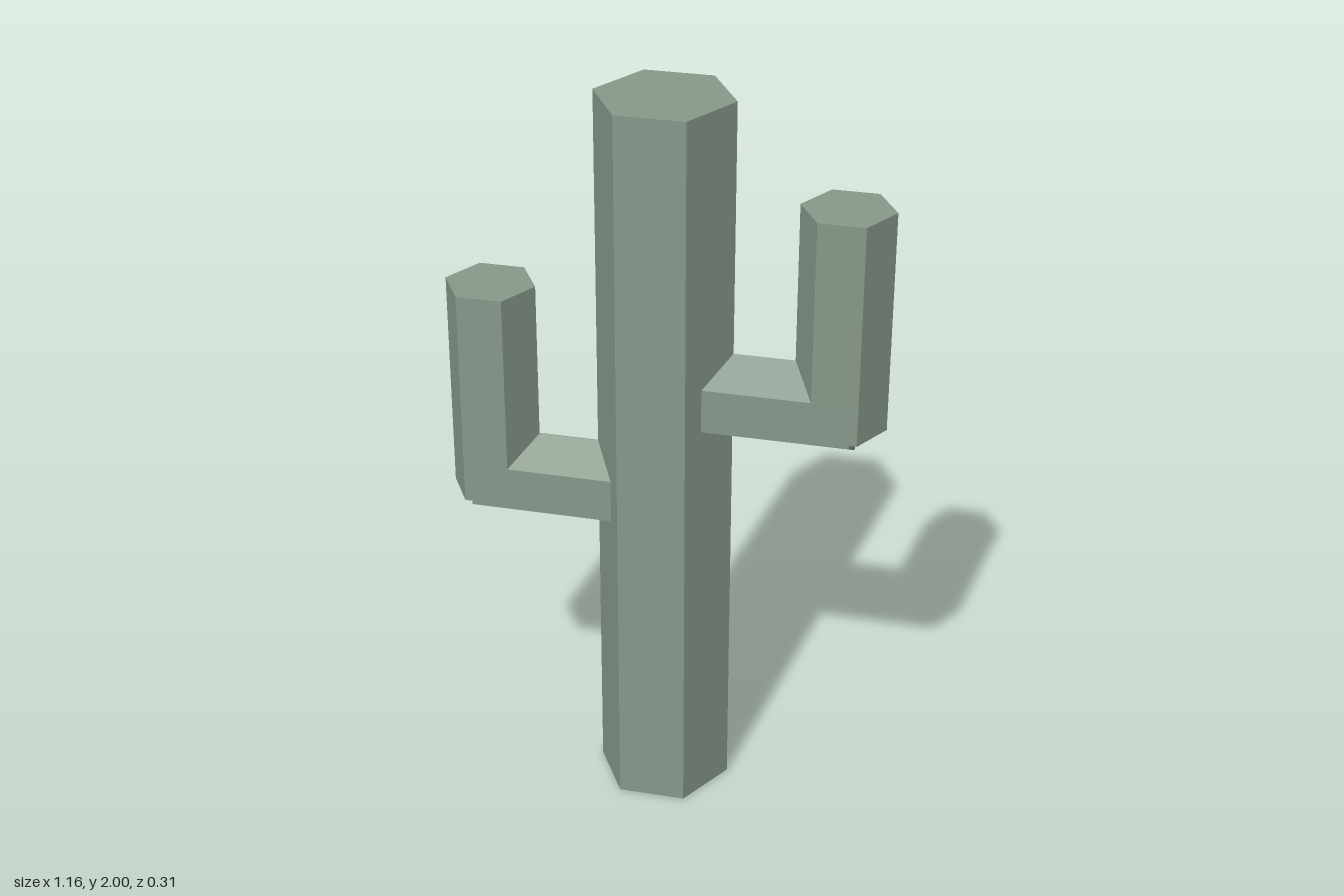
import * as THREE from 'three';

const sage = new THREE.MeshStandardMaterial({ color: 0x87988a });
sage.name = 'sageGreen';
sage.flatShading = true;

// Upright six-sided prism with corners pointing along +x and -x
function hexPrism(name, radius, length) {
  const geometry = new THREE.CylinderGeometry(radius, radius, length, 6, 1, false, Math.PI / 6);
  const mesh = new THREE.Mesh(geometry, sage);
  mesh.name = name;
  return mesh;
}

// L-shaped arm: a horizontal branch out of the trunk and an upright tip
function makeArm(name, side, height) {
  const arm = new THREE.Group();
  arm.name = name;

  const branch = hexPrism('branch', 0.12, 0.4);
  branch.rotation.z = Math.PI / 2;
  branch.position.x = side * 0.3;

  const tip = hexPrism('tip', 0.12, 0.6);
  tip.position.set(side * 0.46, 0.25, 0);

  arm.add(branch, tip);
  arm.position.y = height;
  return arm;
}

export function createModel() {
  const cactus = new THREE.Group();
  cactus.name = 'cactus';

  const trunk = hexPrism('trunk', 0.18, 2);
  trunk.position.y = 1;

  cactus.add(trunk, makeArm('leftArm', 1, 1.2), makeArm('rightArm', -1, 0.9));
  return cactus;
}
